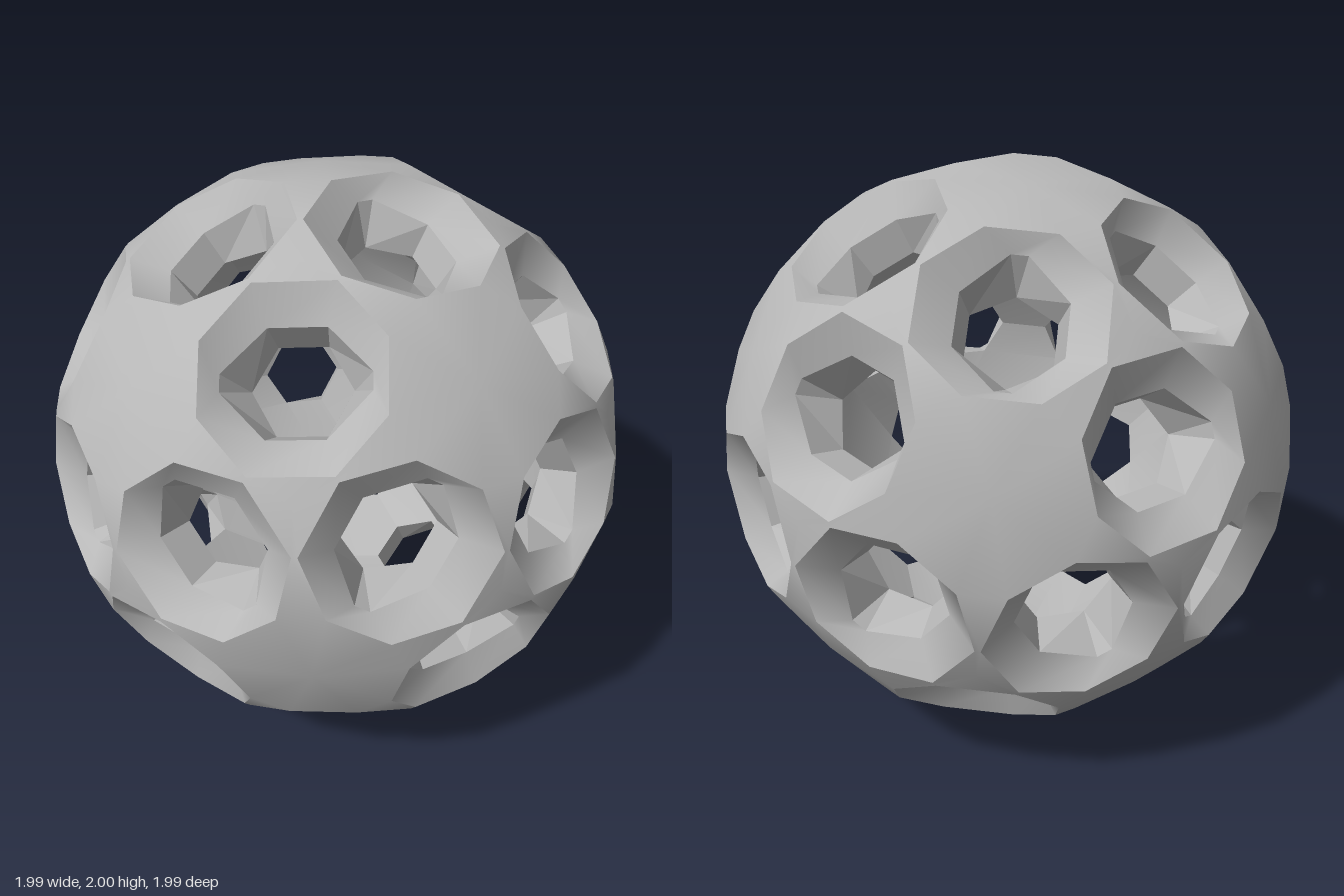
import * as THREE from 'three';
import { toCreasedNormals } from 'three/addons/utils/BufferGeometryUtils.js';

const V = (x, y, z) => new THREE.Vector3(x, y, z);

// Eight rim points of a hole from one quarter: (a,b) at the pentagon end, (c,d) at the triangle side
const ring = (a, b, c, d, rEnd, rSide) => ({ a, b, c, d, rEnd, rSide });
const OUTER = ring(0.28, 0.115, 0.13, 0.29, 1.0, 1.0);
const THROAT = ring(0.245, 0.03, 0.1, 0.185, 0.925, 0.9);
const INNER = ring(0.2, 0, 0.1, 0.175, 0.78, 0.78);

export function createModel() {
  const group = new THREE.Group();
  const gray = new THREE.MeshStandardMaterial({ color: 0xb8b8b8 });
  gray.name = 'stone gray';

  // Tilted frame of the ball
  const Y = V(-0.034, -0.391, 0.918).normalize();
  const X = Y.clone().cross(V(-0.238, 0.898, 0.368)).normalize();
  const Z = X.clone().cross(Y);
  const frame = new THREE.Matrix4().makeBasis(X, Y, Z);

  // Twelve pentagon axes, twenty triangle axes and thirty hole axes
  const phi = (1 + Math.sqrt(5)) / 2;
  const pent = [];
  for (const s of [1, -1]) for (const t of [phi, -phi]) {
    pent.push(V(0, s, t), V(t, 0, s), V(s, t, 0));
  }
  pent.forEach((p) => p.normalize().applyMatrix4(frame));
  const near = (p, q) => p.dot(q) > 0.4;
  const holes = [], triangles = [];
  for (let i = 0; i < 12; i++) for (let j = i + 1; j < 12; j++) {
    if (!near(pent[i], pent[j])) continue;
    holes.push({ v: pent[i].clone().add(pent[j]).normalize(), toward: pent[i] });
    for (let k = j + 1; k < 12; k++) {
      if (near(pent[i], pent[k]) && near(pent[j], pent[k])) {
        triangles.push(pent[i].clone().add(pent[j]).add(pent[k]).normalize());
      }
    }
  }

  // Point beside a hole axis v: t units toward a face axis, s units sideways
  const place = (v, face, t, s, r) => {
    const p = face.clone().addScaledVector(v, -face.dot(v)).normalize();
    const q = v.clone().cross(p);
    return v.clone().addScaledVector(p, t).addScaledVector(q, s).setLength(r);
  };

  const addTri = (out, a, b, c) => {
    if (a.distanceTo(b) < 1e-4 || b.distanceTo(c) < 1e-4 || c.distanceTo(a) < 1e-4) return;
    for (const p of [a, b, c]) out.push(p.x, p.y, p.z);
  };

  const addMesh = (name, out, crease) => {
    let geo = new THREE.BufferGeometry();
    geo.setAttribute('position', new THREE.Float32BufferAttribute(out, 3));
    geo = toCreasedNormals(geo, crease);
    const mesh = new THREE.Mesh(geo, gray);
    mesh.name = name;
    group.add(mesh);
  };

  // Stars and triangles that fill the sphere between the holes
  const skin = (R, dome, flip) => {
    const out = [];
    const put = (a, b, c) => (flip ? addTri(out, a, c, b) : addTri(out, a, b, c));
    // For each hole around an axis, in order, its rim points given by the profile
    const around = (axis, profile) => {
      const side = V(0.31, 0.52, 0.79).cross(axis).normalize();
      const up = axis.clone().cross(side);
      const angle = (h) => Math.atan2(h.v.dot(up), h.v.dot(side));
      return holes.filter((h) => h.v.dot(axis) > 0.8).sort((m, n) => angle(m) - angle(n))
        .map((h) => profile.map(([t, s, r]) => place(h.v, axis, t, s, r)));
    };
    const fan = (axis, loop, r) => {
      const mid = axis.clone().multiplyScalar(r);
      loop.forEach((p, i) => put(mid, p, loop[(i + 1) % loop.length]));
    };
    const star = [[R.c, R.d, R.rSide], [R.a, R.b, R.rEnd], [R.a, -R.b, R.rEnd], [R.c, -R.d, R.rSide]];
    for (const axis of pent) {
      // domed core, then five arms reaching out between the holes
      const rims = around(axis, star);
      fan(axis, rims.flatMap((m) => [m[1], m[2]]), dome * R.rEnd);
      rims.forEach((m, i) => {
        const n = rims[(i + 1) % 5];
        put(m[2], m[3], n[0]);
        put(m[2], n[0], n[1]);
      });
    }
    const tri = [[R.d, R.c, R.rSide], [R.d, -R.c, R.rSide]];
    for (const axis of triangles) fan(axis, around(axis, tri).flat(), 0.985 * R.rSide);
    return out;
  };
  addMesh('outerShell', skin(OUTER, 0.978, false), 0.6);
  addMesh('innerShell', skin(INNER, 0.97, true), 0.3);

  // Full rim of one hole, counter-clockwise from outside
  const rim = (h, R) => {
    const quarter = [[R.a, R.b, R.rEnd], [R.c, R.d, R.rSide]];
    const half = [...quarter, ...quarter.map(([t, s, r]) => [-t, s, r]).reverse()];
    const full = [...half, ...half.map(([t, s, r]) => [-t, -s, r])];
    return full.map(([t, s, r]) => place(h.v, h.toward, t, s, r));
  };

  // Bands joining two rims around every hole
  const bands = (R1, R2) => {
    const out = [];
    for (const h of holes) {
      const o = rim(h, R1), n = rim(h, R2);
      for (let i = 0; i < 8; i++) {
        const j = (i + 1) % 8;
        addTri(out, o[i], o[j], n[j]);
        addTri(out, o[i], n[j], n[i]);
      }
    }
    return out;
  };
  addMesh('holeFunnels', bands(OUTER, THROAT), 0.6);
  addMesh('holeWalls', bands(THROAT, INNER), 0.2);

  group.position.y = 1;
  const model = new THREE.Group();
  model.name = 'piercedBall';
  model.add(group);
  return model;
}
